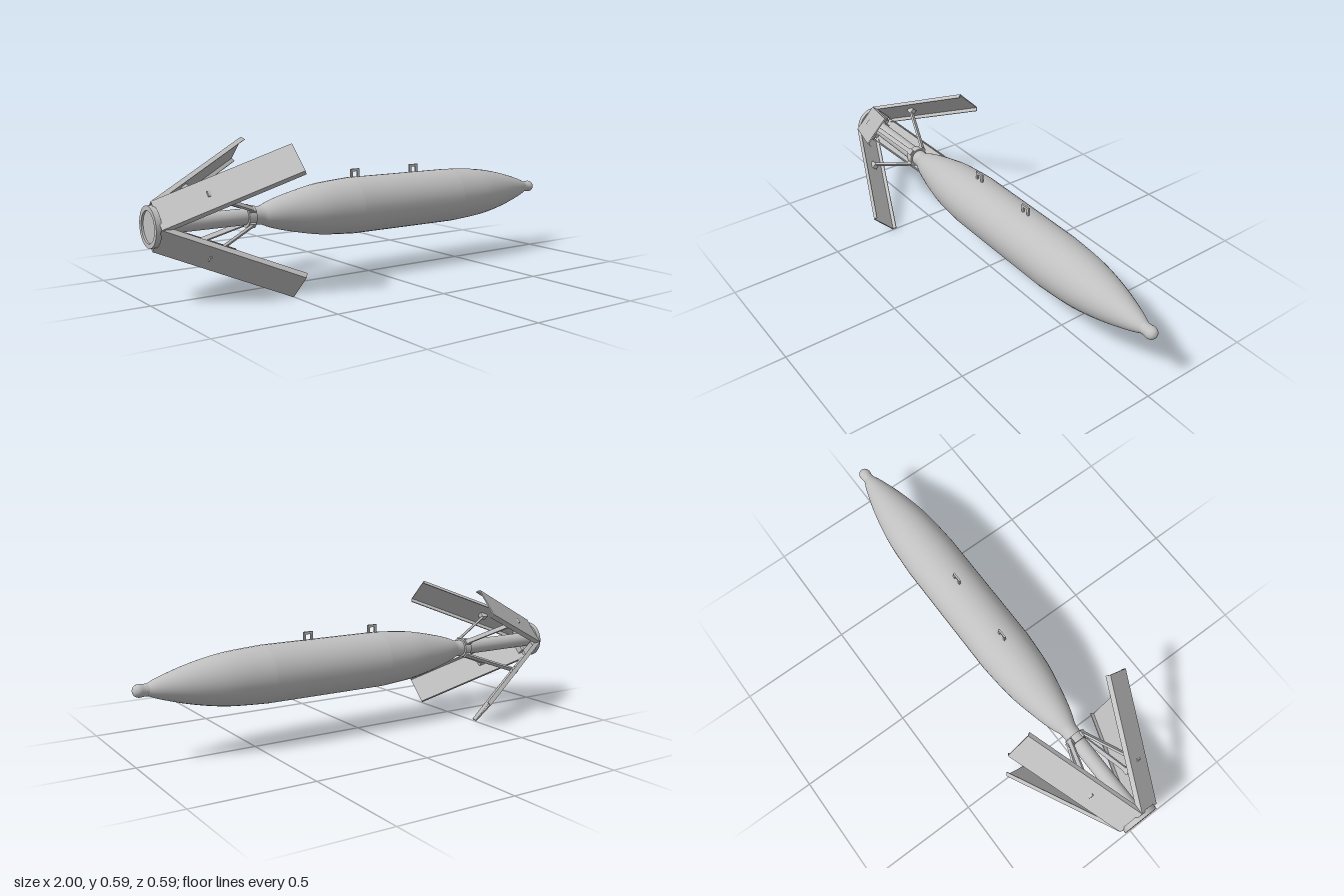
import * as THREE from 'three';

const AXIS_Y = 0.303;
const v2 = (x, r) => new THREE.Vector2(r, x);

export function createModel() {
  const model = new THREE.Group();
  const grey = new THREE.MeshStandardMaterial({ color: 0xc0c0c0 });
  grey.name = 'light grey';

  const add = (parent, name, geometry) => {
    const mesh = new THREE.Mesh(geometry, grey);
    mesh.name = name;
    parent.add(mesh);
    return mesh;
  };
  // Lathe whose axis lies along x; points are [x, radius] from tail to nose
  const turned = (name, points, segments = 32) => {
    const geometry = new THREE.LatheGeometry(points.map(([x, r]) => v2(x, r)), segments);
    geometry.rotateZ(-Math.PI / 2);
    return add(assembly, name, geometry);
  };

  const assembly = new THREE.Group();
  assembly.name = 'assembly';
  assembly.position.y = AXIS_Y;
  model.add(assembly);

  // Body: curved tail, straight middle, curved nose
  const smooth = (pts, n) => new THREE.SplineCurve(pts.map(([x, r]) => v2(x, r)))
    .getPoints(n).map(p => [p.y, p.x]);
  turned('tailBody', smooth([[-0.565, 0.036], [-0.53, 0.038], [-0.5, 0.05], [-0.45, 0.066],
    [-0.35, 0.09], [-0.25, 0.108], [-0.1, 0.12]], 24));
  turned('middleBody', [[-0.1, 0.12], [0.45, 0.12]]);
  turned('noseBody', smooth([[0.45, 0.12], [0.6, 0.11], [0.7, 0.095], [0.8, 0.072],
    [0.9, 0.041], [0.94, 0.024]], 24));
  turned('noseKnob', smooth([[0.935, 0.025], [0.955, 0.024], [0.975, 0.026], [0.99, 0.02],
    [0.997, 0.011], [1, 0]], 20));

  // Tail tube, collar and recessed end cap, as separate bands for hard edges
  turned('tailTube', [[-0.98, 0.033], [-0.55, 0.033]]);
  const bands = (name, pts) => {
    for (let i = 0; i + 1 < pts.length; i++) turned(name, [pts[i], pts[i + 1]]);
  };
  bands('collar', [[-0.6, 0.03], [-0.6, 0.043], [-0.567, 0.043], [-0.567, 0.03]]);
  bands('endCap', [[-0.992, 0], [-0.992, 0.062], [-1, 0.062], [-1, 0.08],
    [-0.978, 0.08], [-0.978, 0]]);

  // Suspension lugs on top
  const lug = new THREE.Shape([[-0.022, -0.008], [0.022, -0.008], [0.022, 0.037], [-0.022, 0.037]]
    .map(p => new THREE.Vector2(...p)));
  lug.holes.push(new THREE.Path([[-0.012, 0], [-0.012, 0.026], [0.012, 0.026], [0.012, 0]]
    .map(p => new THREE.Vector2(...p))));
  for (const x of [-0.072, 0.245]) {
    const geometry = new THREE.ExtrudeGeometry(lug, { depth: 0.008, bevelEnabled: false });
    add(assembly, 'suspensionLug', geometry).position.set(x, 0.118, -0.004);
  }

  // Fin: shallow channel with slightly flared flanges facing the body
  const channel = new THREE.Shape([[-0.067, 0], [-0.071, -0.02], [-0.067, -0.02], [-0.063, -0.005],
    [0.063, -0.005], [0.067, -0.02], [0.071, -0.02], [0.067, 0]].map(p => new THREE.Vector2(...p)));
  const root = new THREE.Vector3(-0.985, 0.067, 0);
  const tip = new THREE.Vector3(-0.503, 0.353, 0);
  const along = tip.clone().sub(root).normalize();
  const outward = new THREE.Vector3(-along.y, along.x, 0);
  const finMatrix = new THREE.Matrix4()
    .makeBasis(new THREE.Vector3(0, 0, -1), outward, along).setPosition(root);
  const finGeometry = new THREE.ExtrudeGeometry(channel,
    { depth: root.distanceTo(tip), bevelEnabled: false }).applyMatrix4(finMatrix);

  // Strut: flat bar from the collar out to the fin
  const a = new THREE.Vector3(-0.575, 0.042, 0);
  const b = new THREE.Vector3(-0.8, 0.158, 0);
  const strutGeometry = new THREE.BoxGeometry(a.distanceTo(b), 0.01, 0.02);
  strutGeometry.rotateZ(Math.atan2(a.y - b.y, a.x - b.x));
  strutGeometry.translate((a.x + b.x) / 2, (a.y + b.y) / 2, 0);

  for (let i = 0; i < 4; i++) {
    const arm = new THREE.Group();
    arm.name = 'finArm';
    arm.rotation.x = Math.PI / 4 + i * Math.PI / 2;
    assembly.add(arm);
    add(arm, 'fin', finGeometry);
    add(arm, 'strut', strutGeometry);
    // Hinges at both ends of the strut, and at the fin root
    add(arm, 'collarHinge', new THREE.BoxGeometry(0.026, 0.016, 0.026)).position.set(-0.584, 0.042, 0);
    add(arm, 'finBracket', new THREE.BoxGeometry(0.03, 0.026, 0.024)).position.set(-0.8, 0.162, 0);
    add(arm, 'rootHinge', new THREE.BoxGeometry(0.025, 0.03, 0.07)).position.set(-0.973, 0.055, 0);
  }
  return model;
}
